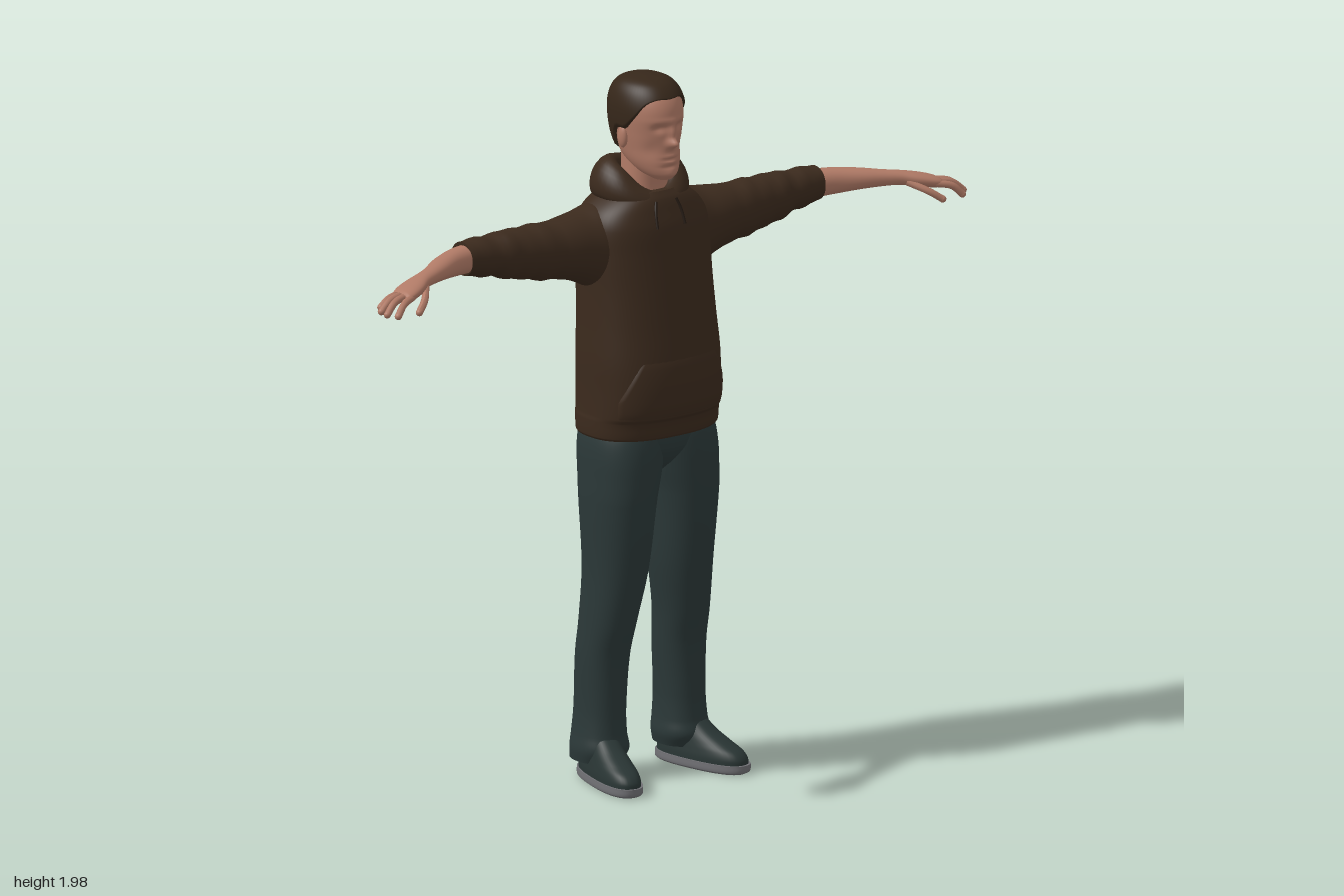
import * as THREE from 'three';

const mat = (name, color) => Object.assign(new THREE.MeshStandardMaterial({ color }), { name });

// Surface through rings of points; closed wraps each ring
function grid(rings, closed = true) {
  const n = rings[0].length, pos = rings.flat(2), idx = [];
  for (let j = 0; j < rings.length - 1; j++)
    for (let i = 0; i < (closed ? n : n - 1); i++) {
      const a = j * n + i, b = j * n + (i + 1) % n, c = a + n, d = b + n;
      idx.push(a, b, d, a, d, c);
    }
  const g = new THREE.BufferGeometry();
  g.setAttribute('position', new THREE.Float32BufferAttribute(pos, 3));
  g.setIndex(idx);
  g.computeVertexNormals();
  return g;
}

// Smooth lookup in rows of [key, ...values] sorted by key
function at(rows, k) {
  let i = 0;
  while (i < rows.length - 2 && k > rows[i + 1][0]) i++;
  const p = rows[i], q = rows[i + 1], o = rows[i - 1] ?? p, r = rows[i + 2] ?? q;
  const h = q[0] - p[0], t = THREE.MathUtils.clamp((k - p[0]) / h, 0, 1), t2 = t * t, t3 = t2 * t;
  return p.map((_, c) => {
    const m0 = (q[c] - o[c]) / (q[0] - o[0]) * h, m1 = (r[c] - p[c]) / (r[0] - p[0]) * h;
    return (2 * t3 - 3 * t2 + 1) * p[c] + (t3 - 2 * t2 + t) * m0 + (3 * t2 - 2 * t3) * q[c] + (t3 - t2) * m1;
  });
}

// Point on a rounded section; row = [key, zFront, zBack, low, high]
function sectionPoint([k, f, b, lo, hi], angle, axis = 'y', power = 2.3, grow = 0) {
  const e = v => Math.sign(v) * Math.abs(v) ** (2 / power);
  const s = e(Math.sin(angle)), c = e(Math.cos(angle));
  const z = (f + b) / 2 + ((f - b) / 2 + grow) * c, w = (hi - lo) / 2 + grow, m = (lo + hi) / 2;
  return axis === 'y' ? [m + w * s, k, z] : [k, m - w * s, z];
}

// Capped body swept through the rows along y or x
function loft(rows, { axis = 'y', power = 2.3, n = 40, steps = 6, warp = p => p } = {}) {
  const ks = [rows[0][0]];
  for (let i = 1; i < rows.length; i++)
    for (let s = 1; s <= steps; s++) ks.push(THREE.MathUtils.lerp(rows[i - 1][0], rows[i][0], s / steps));
  const rings = ks.map(k => {
    const row = at(rows, k);
    return Array.from({ length: n }, (_, i) => warp(sectionPoint(row, i / n * Math.PI * 2, axis, power)));
  });
  const cap = ring => {
    const c = [0, 1, 2].map(a => ring.reduce((s, p) => s + p[a], 0) / n);
    return ring.map(() => c);
  };
  const first = rings[0], last = rings.at(-1);
  return grid([cap(first), first, ...rings, last, cap(last)]);
}

function mirror(geo) {
  const g = geo.clone().scale(-1, 1, 1), ix = g.index.array;
  for (let i = 0; i < ix.length; i += 3) [ix[i], ix[i + 1]] = [ix[i + 1], ix[i]];
  g.computeVertexNormals();
  return g;
}

const tube = (pts, r) => new THREE.TubeGeometry(
  new THREE.CatmullRomCurve3(pts.map(p => new THREE.Vector3(...p))), 10, r, 10);

const ball = (p, x, y, z) => new THREE.SphereGeometry(1, 20, 14).scale(x, y, z).translate(...p);

export function createModel() {
  const model = new THREE.Group();
  const cloth = mat('brown hoodie', 0x3b2a1d), hairMat = mat('dark brown hair', 0x36271a);
  const cord = mat('dark cord', 0x241a13), denim = mat('dark teal trousers', 0x2b3838);
  const skin = mat('skin', 0xb07a66), shoeMat = mat('dark shoe', 0x293534), rubber = mat('grey sole', 0x707074);
  const add = (name, geo, m) => {
    const mesh = new THREE.Mesh(geo, m);
    mesh.name = name;
    model.add(mesh);
  };
  const pair = (name, geo, m) => {
    add(name + 'Left', geo, m);
    add(name + 'Right', mirror(geo), m);
  };

  // Hoodie body with ribbed hem
  const torso = [
    [.985, .13, -.154, -.199, .199], [.992, .135, -.157, -.203, .203], [1.035, .142, -.16, -.204, .204],
    [1.05, .155, -.165, -.202, .202], [1.12, .16, -.168, -.2, .2], [1.2, .155, -.168, -.2, .2],
    [1.3, .14, -.168, -.195, .195], [1.4, .125, -.17, -.192, .192], [1.5, .11, -.17, -.192, .192],
    [1.57, .1, -.168, -.188, .188], [1.61, .088, -.16, -.17, .17], [1.645, .075, -.14, -.13, .13],
    [1.665, .06, -.12, -.09, .09]];
  add('hoodieBody', loft(torso, { n: 56, power: 2.45 }), cloth);

  // Front pocket following the belly
  const pocket = [];
  for (let j = 0; j <= 16; j++) {
    const v = j / 16, row = at(torso, 1.05 + .16 * v), ring = [];
    const reach = v < .3 ? 1.05 : 1.05 - .45 * (v - .3) / .7;
    for (let i = 0; i <= 32; i++) {
      const edge = i === 0 || i === 32;
      ring.push(sectionPoint(row, (i / 16 - 1) * reach, 'y', 2.45, edge ? -.002 : .005 * Math.sin(Math.PI * v) ** .5 - .0005));
    }
    pocket.push(ring);
  }
  add('pocket', grid(pocket, false), cloth);

  // Hood folded round the neck, thick and hanging at the back
  const hood = [ // [angle, x radius, z, y, thickness, half height]
    [0, .1, .062, 1.637, .016, .018], [.6, .1, .042, 1.653, .022, .027], [1.2, .102, .002, 1.676, .03, .045],
    [1.8, .104, -.055, 1.688, .037, .055], [2.5, .102, -.108, 1.676, .045, .067], [Math.PI, .1, -.13, 1.656, .052, .075]];
  const hoodRings = [];
  for (let i = 0; i <= 48; i++) {
    const a = i / 48 * Math.PI * 2, [, rx, z, y, t, h] = at(hood, Math.min(a, Math.PI * 2 - a));
    hoodRings.push(Array.from({ length: 20 }, (_, k) => {
      const f = -k / 20 * Math.PI * 2, o = t * Math.cos(f) - .012 * Math.sin(f);
      return [(rx + o) * Math.sin(a), y + h * Math.sin(f), z + o * Math.cos(a)];
    }));
  }
  add('hood', grid(hoodRings), cloth);
  pair('drawstring', tube([[.034, 1.642, .075], [.043, 1.612, .087], [.047, 1.572, .1]], .004), cord);

  // Sleeves with soft, uneven wrinkles
  const wrinkle = ([x, y, z]) => {
    const w = .0022 * (Math.sin(x * 58) + Math.sin(x * 97 + z * 30)) * THREE.MathUtils.smoothstep(x, .25, .4);
    return [x, y + w * THREE.MathUtils.clamp((y - 1.54) / .04, -1, 1), z + w * .6];
  };
  pair('sleeve', loft([
    [.06, .04, -.155, 1.4, 1.63], [.15, .048, -.157, 1.385, 1.627], [.2, .042, -.15, 1.41, 1.615],
    [.25, .037, -.135, 1.432, 1.61], [.3, .03, -.122, 1.444, 1.606], [.4, .02, -.115, 1.46, 1.608],
    [.5, .01, -.108, 1.485, 1.605], [.605, 0, -.095, 1.508, 1.602]], { axis: 'x', power: 2.1, warp: wrinkle }), cloth);

  // Forearms, palms and fingers
  pair('forearmAndPalm', loft([
    [.58, -.006, -.085, 1.515, 1.594], [.65, .012, -.068, 1.52, 1.592], [.72, .042, -.036, 1.529, 1.586],
    [.78, .066, .004, 1.534, 1.578], [.815, .082, .02, 1.534, 1.574], [.85, .105, .026, 1.528, 1.568],
    [.885, .12, .034, 1.522, 1.56], [.91, .124, .045, 1.52, 1.552], [.92, .118, .055, 1.526, 1.546]],
  { axis: 'x', power: 2.2 }), skin);
  const fingers = {
    indexFinger: [[.895, 1.536, .112], [.94, 1.526, .13], [.967, 1.5, .14]],
    middleFinger: [[.9, 1.538, .095], [.955, 1.529, .108], [.987, 1.503, .117]],
    ringFinger: [[.9, 1.537, .075], [.955, 1.53, .087], [.99, 1.507, .094]],
    littleFinger: [[.895, 1.534, .056], [.94, 1.528, .063], [.972, 1.51, .068]],
    thumb: [[.825, 1.545, .078], [.865, 1.522, .124], [.897, 1.499, .143]]
  };
  for (const [name, pts] of Object.entries(fingers)) {
    pair(name, tube(pts, .01), skin);
    pair(name + 'Tip', ball(pts[2], .01, .01, .01), skin);
  }

  // Head with modelled face: bumps are [x, y, depth, width, height]
  const head = [
    [1.703, .088, .03, -.025, .025], [1.72, .1, -.03, -.048, .048], [1.75, .101, -.075, -.066, .066],
    [1.79, .1, -.108, -.076, .076], [1.83, .1, -.122, -.083, .083], [1.88, .105, -.127, -.087, .087],
    [1.92, .095, -.122, -.083, .083], [1.95, .07, -.1, -.067, .067], [1.966, .035, -.065, -.04, .04],
    [1.971, -.01, -.02, -.004, .004]];
  const bumps = [
    [0, 1.81, .029, .013, .013], [0, 1.84, .014, .01, .02], [.033, 1.853, -.011, .017, .011],
    [-.033, 1.853, -.011, .017, .011], [0, 1.873, .004, .05, .008], [0, 1.772, .005, .02, .006],
    [0, 1.764, -.004, .024, .003], [0, 1.756, .005, .018, .006], [0, 1.742, -.004, .025, .005],
    [0, 1.72, .005, .022, .012], [.05, 1.79, -.006, .02, .025], [-.05, 1.79, -.006, .02, .025]];
  const face = ([x, y, z]) => [x, y, z < .02 ? z : bumps.reduce(
    (s, [bx, by, d, w, h]) => s + d * Math.exp(-(((x - bx) / w) ** 2) - ((y - by) / h) ** 2), z)];
  add('head', loft(head, { n: 96, steps: 9, power: 2.1, warp: face }), skin);
  add('neck', loft([[1.6, .045, -.1, -.07, .07], [1.68, .04, -.085, -.062, .062], [1.78, .05, -.09, -.058, .058]]), skin);
  pair('ear', ball([.084, 1.818, -.008], .011, .031, .017), skin);

  // Short hair with a hairline that drops behind the ears
  const hairline = [[0, 1.927], [.45, 1.927], [.85, 1.912], [1.2, 1.87], [1.45, 1.84], [1.75, 1.835], [2.1, 1.775], [Math.PI, 1.748]];
  const hairRings = [];
  for (let j = 0; j <= 30; j++)
    hairRings.push(Array.from({ length: 64 }, (_, i) => {
      const a = i / 64 * Math.PI * 2, low = at(hairline, Math.min(a, Math.PI * 2 - a))[1];
      const v = 1 - (1 - j / 30) ** 2, y = THREE.MathUtils.lerp(low, 1.971, v);
      const p = sectionPoint(at(head, y), a, 'y', 2.1, j === 0 ? -.003 : j === 30 ? -.004 : .008);
      return [p[0], y + .009 * THREE.MathUtils.smoothstep(y, 1.9, 1.97), p[2]];
    }));
  const crown = hairRings.at(-1).map(() => [0, 1.981, -.015]);
  add('hair', grid([...hairRings, crown]), hairMat);

  // Trousers: seat and two legs
  add('trouserSeat', loft([
    [.855, .03, -.04, -.02, .02], [.88, .062, -.075, -.05, .05], [.91, .092, -.108, -.1, .1],
    [.95, .113, -.134, -.16, .16], [1.02, .116, -.142, -.18, .18]]), denim);
  pair('trouserLeg', loft([
    [.055, .025, -.127, .075, .208], [.09, .045, -.128, .066, .212], [.13, .037, -.125, .07, .206],
    [.2, .033, -.12, .072, .2], [.35, .038, -.115, .062, .2], [.45, .062, -.107, .054, .196],
    [.6, .09, -.105, .03, .192], [.8, .115, -.12, .012, .2], [.87, .119, -.128, -.002, .2],
    [.93, .119, -.135, -.014, .199], [.98, .113, -.136, -.025, .193], [1.02, .1, -.125, -.03, .18]], { power: 2.3 }), denim);

  // Shoes, toes turned out
  const place = g => g.rotateY(.22).translate(.152, 0, 0);
  pair('shoe', place(loft([
    [.022, .184, -.12, -.054, .054], [.04, .182, -.118, -.053, .053], [.058, .165, -.116, -.05, .05],
    [.075, .128, -.114, -.047, .047], [.1, .075, -.11, -.043, .043], [.13, .03, -.095, -.038, .038]],
  { power: 2.5 })), shoeMat);
  pair('sole', place(loft([
    [0, .18, -.118, -.052, .052], [.006, .189, -.124, -.058, .058], [.026, .191, -.124, -.058, .058]],
  { power: 2.5 })), rubber);

  return model;
}
